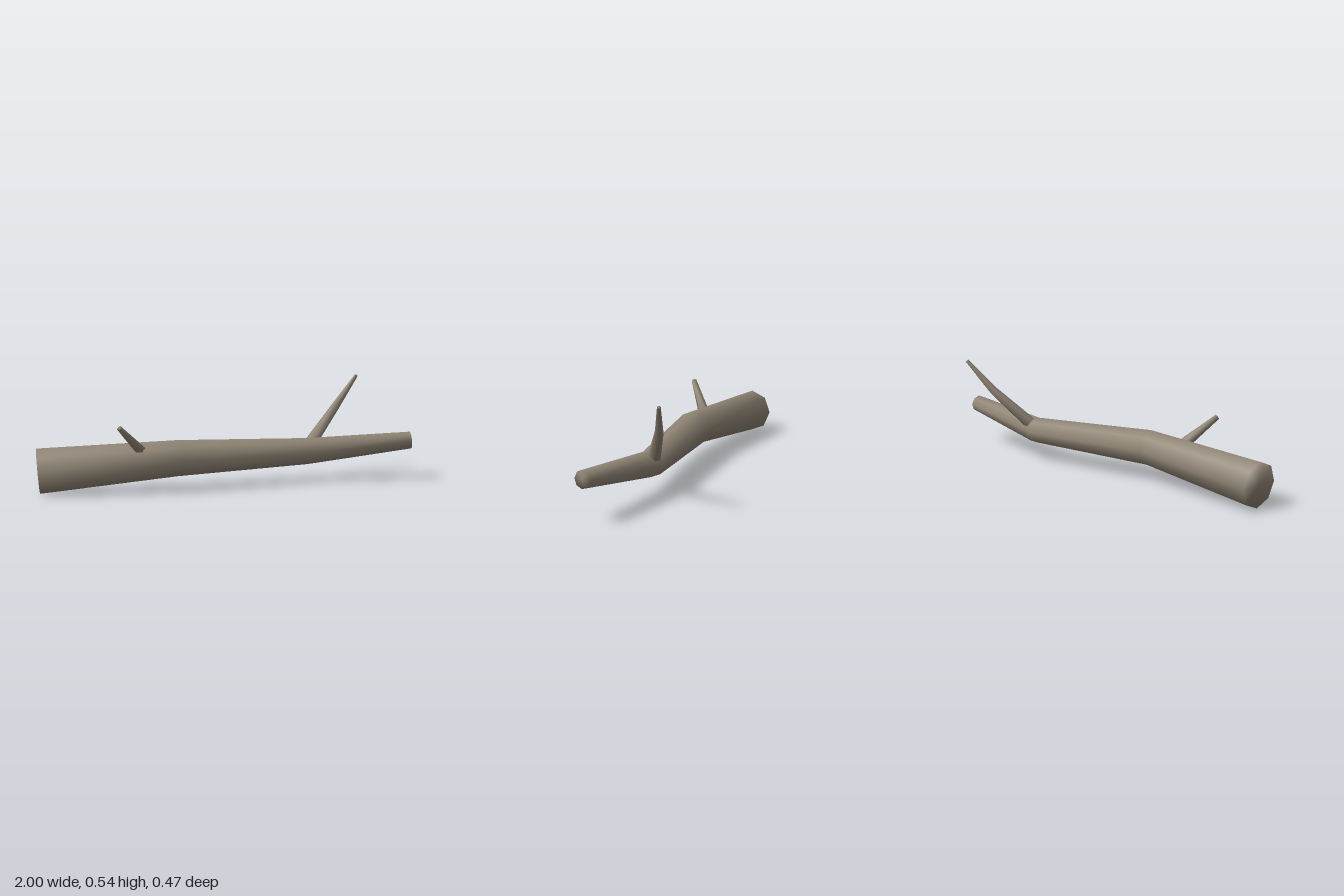
import * as THREE from 'three';

const bark = new THREE.MeshStandardMaterial({ color: 0x918676 });
bark.name = 'bark';

// Closed tapering limb: each ring is [x, y, z, radius], square to the path.
function limb(name, rings, sides) {
  const pts = rings.map(r => new THREE.Vector3(r[0], r[1], r[2]));
  const pos = [], idx = [];
  const last = rings.length - 1;
  rings.forEach((r, i) => {
    // tangent averaged between neighbouring segments
    const t = new THREE.Vector3();
    if (i > 0) t.add(pts[i].clone().sub(pts[i - 1]).normalize());
    if (i < last) t.add(pts[i + 1].clone().sub(pts[i]).normalize());
    t.normalize();
    const u = new THREE.Vector3(0, 1, 0).addScaledVector(t, -t.y).normalize();
    const v = t.clone().cross(u);
    for (let j = 0; j < sides; j++) {
      const a = (j / sides) * Math.PI * 2;
      const p = pts[i].clone()
        .addScaledVector(u, r[3] * Math.cos(a))
        .addScaledVector(v, r[3] * Math.sin(a));
      pos.push(p.x, p.y, p.z);
    }
  });
  // centres of the two end caps
  const start = rings.length * sides, end = start + 1;
  pos.push(...pts[0].toArray(), ...pts[last].toArray());
  for (let j = 0; j < sides; j++) {
    const k = (j + 1) % sides;
    for (let i = 0; i < last; i++) {
      const a = i * sides + j, b = i * sides + k;
      idx.push(a, b, a + sides, b, b + sides, a + sides);
    }
    idx.push(start, k, j, end, last * sides + j, last * sides + k);
  }
  const g = new THREE.BufferGeometry();
  g.setAttribute('position', new THREE.Float32BufferAttribute(pos, 3));
  g.setIndex(idx);
  g.computeVertexNormals();
  const mesh = new THREE.Mesh(g, bark);
  mesh.name = name;
  return mesh;
}

export function createModel() {
  const group = new THREE.Group();
  group.name = 'fallenBranch';
  group.add(
    // main crooked log
    limb('trunk', [
      [-0.99, 0.12, 0.022, 0.118],
      [-0.28, 0.17, 0.075, 0.095],
      [0.44, 0.163, -0.02, 0.071],
      [0.99, 0.217, 0.06, 0.046],
    ], 8),
    // short stub near the thick end
    limb('shortTwig', [
      [-0.475, 0.224, 0.109, 0.029],
      [-0.595, 0.36, 0.22, 0.014],
    ], 6),
    // long bent twig near the thin end
    limb('longTwig', [
      [0.468, 0.205, -0.05, 0.034],
      [0.635, 0.38, -0.16, 0.023],
      [0.77, 0.537, -0.225, 0.01],
    ], 6),
  );
  return group;
}
